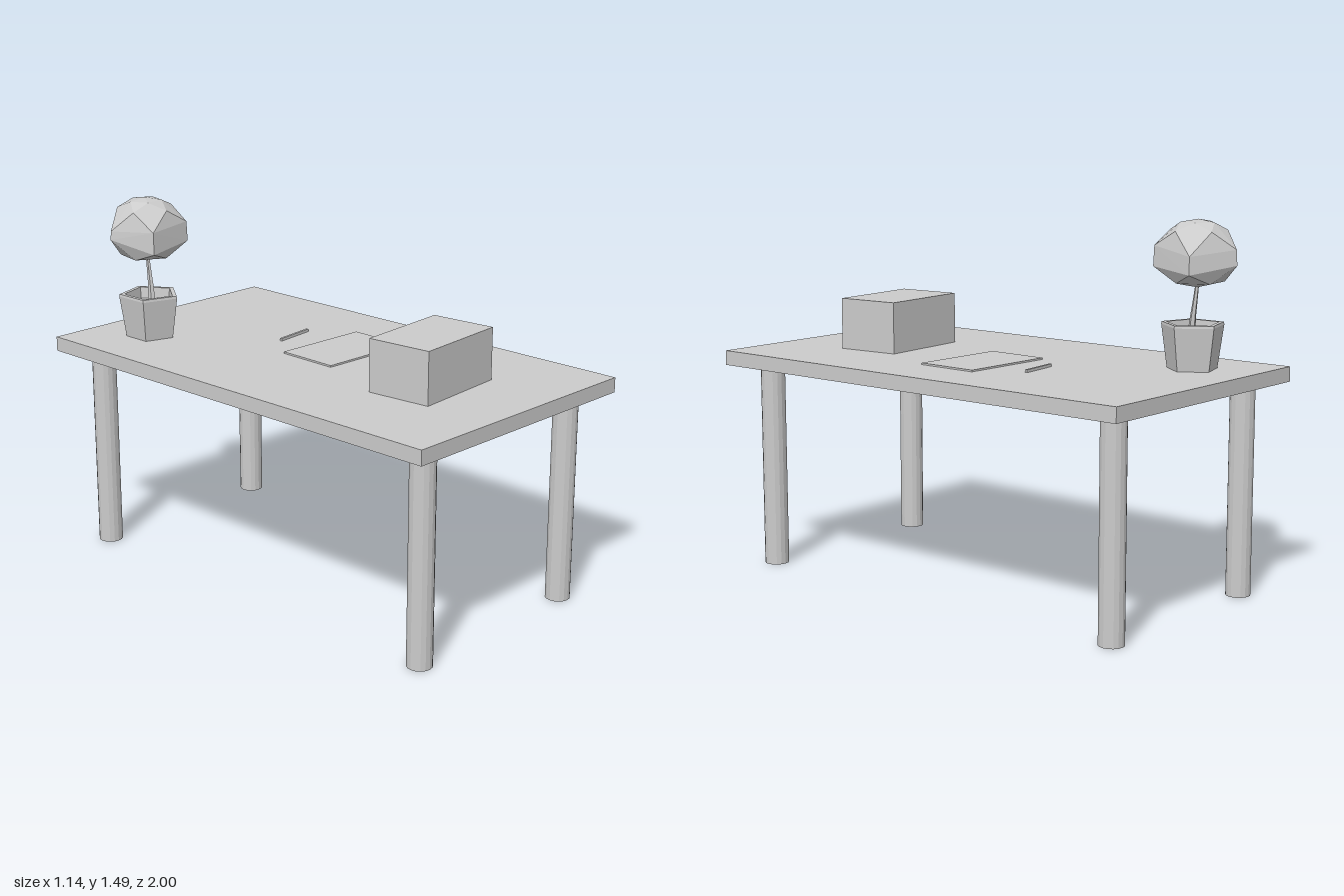
import * as THREE from 'three';
import { ConvexGeometry } from 'three/addons/geometries/ConvexGeometry.js';

const TOP = 0.91; // height of the table surface

export function createModel() {
  const model = new THREE.Group();
  model.name = 'deskWithPlant';
  const mat = new THREE.MeshStandardMaterial({ color: 0xcccccc, flatShading: true });

  const add = (name, geo, x, y, z, turn = 0, parent = model) => {
    const mesh = new THREE.Mesh(geo, mat);
    mesh.name = name;
    mesh.position.set(x, y, z);
    mesh.rotation.y = turn;
    parent.add(mesh);
    return mesh;
  };
  // box resting on the table surface
  const onTable = (name, w, h, d, x, z, turn) =>
    add(name, new THREE.BoxGeometry(w, h, d), x, TOP + h / 2, z, turn);

  // Table
  add('tableTop', new THREE.BoxGeometry(1.14, 0.06, 2), 0, TOP - 0.03, 0);
  const legGeo = new THREE.CylinderGeometry(0.05, 0.05, 0.85, 16);
  for (const [side, sx] of [['Left', 1], ['Right', -1]])
    for (const [end, sz] of [['front', 1], ['back', -1]])
      add(`${end}${side}Leg`, legGeo, sx * 0.42, 0.425, sz * 0.88);

  // Things lying on the table
  onTable('box', 0.416, 0.21, 0.273, -0.002, 0.555, 0.085);
  onTable('paper', 0.416, 0.007, 0.268, 0.118, -0.01, -0.03);
  onTable('pen', 0.178, 0.011, 0.011, 0.12, -0.295, 0.12);

  // Plant
  const plant = new THREE.Group();
  plant.name = 'plant';
  plant.position.set(-0.276, 0, -0.74);
  model.add(plant);

  // Five-sided hollow pot with one corner towards +x
  const potProfile = [
    [0, 0], [0.103, 0], [0.128, 0.17], [0.126, 0.18], [0.106, 0.18], [0.1, 0.135], [0, 0.135],
  ].map(([r, y]) => new THREE.Vector2(r, y));
  add('pot', new THREE.LatheGeometry(potProfile, 5, Math.PI / 2), 0, TOP, 0, 0, plant);

  // Bent, tapering trunk: a tube whose rings shrink towards the top
  const path = new THREE.CatmullRomCurve3([
    [0.008, 1.03, 0.0], [0.01, 1.09, -0.003], [0.013, 1.16, -0.014], [0.012, 1.26, -0.026],
  ].map((p) => new THREE.Vector3(...p)));
  const rings = 5, sides = 5;
  const trunkGeo = new THREE.TubeGeometry(path, rings, 1, sides);
  const pos = trunkGeo.attributes.position;
  const v = new THREE.Vector3();
  for (let i = 0; i < pos.count; i++) {
    const t = Math.floor(i / (sides + 1)) / rings;
    const centre = path.getPointAt(t);
    v.fromBufferAttribute(pos, i).sub(centre).multiplyScalar(0.02 - 0.013 * Math.sqrt(t)).add(centre);
    pos.setXYZ(i, v.x, v.y, v.z);
  }
  add('trunk', trunkGeo, 0, 0, 0, 0, plant);

  // Faceted crown: hull of an irregular five-cornered band with rings above and below
  const cx = -0.275, cz = -0.757;
  const band = [ // x, z, lower and upper height of each corner
    [-0.29, -0.925, 1.32, 1.38],
    [-0.115, -0.825, 1.29, 1.36],
    [-0.16, -0.63, 1.31, 1.39],
    [-0.36, -0.61, 1.285, 1.375],
    [-0.443, -0.78, 1.335, 1.37],
  ];
  const points = [new THREE.Vector3(cx, 1.49, cz), new THREE.Vector3(cx, 1.228, cz)];
  const put = (x, y, z, s) => points.push(new THREE.Vector3(cx + (x - cx) * s, y, cz + (z - cz) * s));
  band.forEach(([x, z, low, high], i) => {
    const [nx, nz] = band[(i + 1) % 5];
    const mx = (x + nx) / 2, mz = (z + nz) / 2;
    put(x, low, z, 1);
    put(x, high, z, 0.98);
    put(mx, 1.448, mz, 0.86);
    put(x, 1.479, z, 0.4);
    put(mx, 1.25, mz, 0.8);
  });
  add('foliage', new ConvexGeometry(points), 0, 0, 0);

  return model;
}
